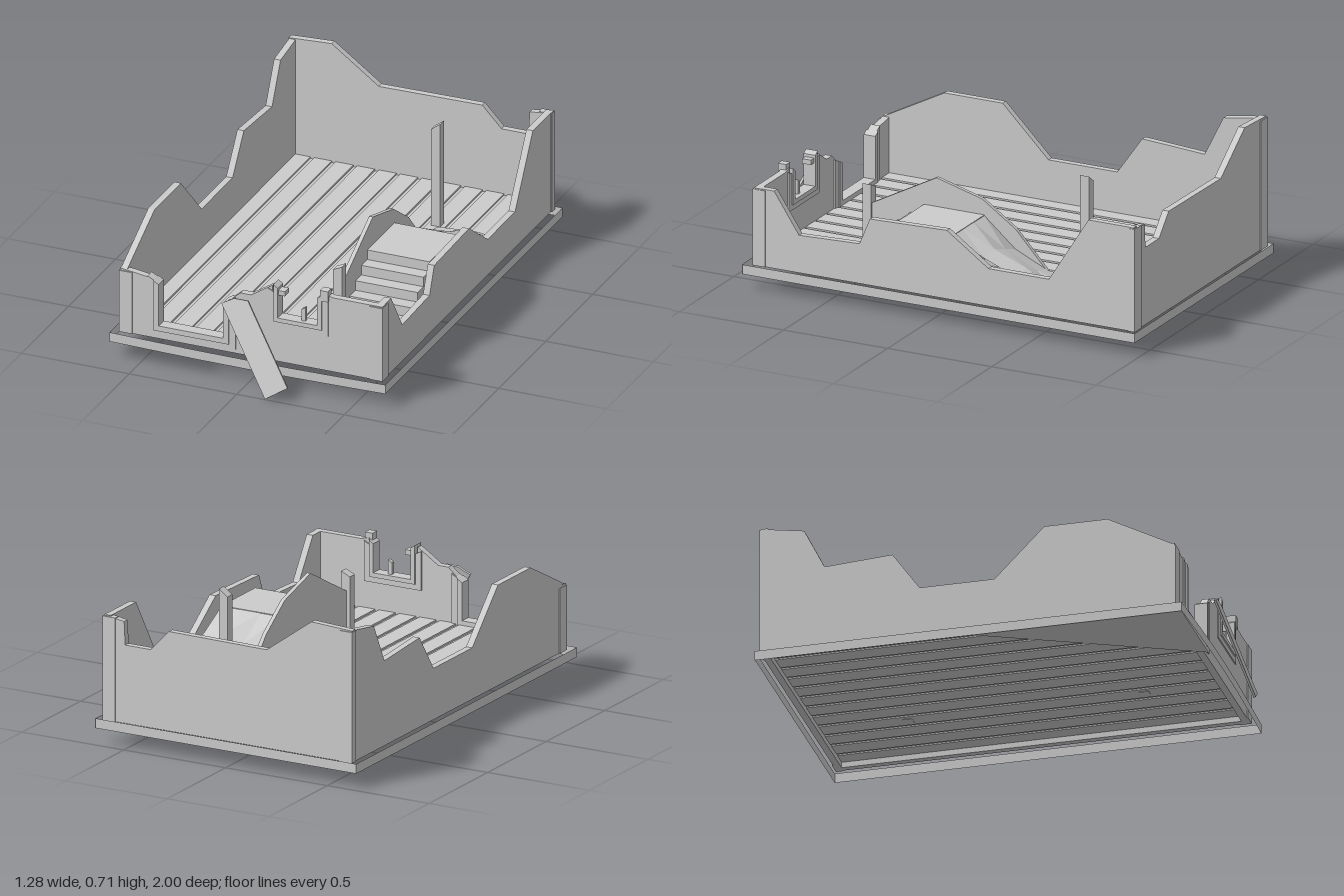
import * as THREE from 'three';

const material = new THREE.MeshStandardMaterial({ color: 0xcccccc, flatShading: true });
const thinMaterial = new THREE.MeshStandardMaterial({ color: 0xcccccc, flatShading: true, side: THREE.DoubleSide });
const BASE = 0.11;
const FLOOR = 0.155;

export function createModel() {
  const model = new THREE.Group();

  const add = (name, geometry, mat = material) => {
    const mesh = new THREE.Mesh(geometry, mat);
    mesh.name = name;
    model.add(mesh);
    return mesh;
  };
  // box given by its limits on each axis
  const box = (name, [x0, x1], [y0, y1], [z0, z1]) => {
    const g = new THREE.BoxGeometry(x1 - x0, y1 - y0, z1 - z0);
    return add(name, g.translate((x0 + x1) / 2, (y0 + y1) / 2, (z0 + z1) / 2));
  };
  const extrude = (points, depth) => new THREE.ExtrudeGeometry(
    new THREE.Shape(points.map(p => new THREE.Vector2(...p))), { depth, bevelEnabled: false });
  // outline in x,y, thickness along z
  const frontPanel = (name, points, z0, z1) =>
    add(name, extrude(points, z1 - z0).translate(0, 0, z0));
  // outline in z,y, thickness along x
  const sidePanel = (name, points, x0, x1) =>
    add(name, extrude(points.map(([z, y]) => [-z, y]), x1 - x0).rotateY(Math.PI / 2).translate(x0, 0, 0));
  // upright timber with a broken, slanting top
  const timber = (name, x, z, w, y0, y1, drop) => {
    const g = new THREE.BoxGeometry(w, y1 - y0, w);
    const p = g.attributes.position;
    for (let i = 0; i < p.count; i++)
      if (p.getY(i) > 0 && p.getX(i) < 0) p.setY(i, p.getY(i) - drop);
    return add(name, g.translate(x, (y0 + y1) / 2, z));
  };

  // floor boards with shallow grooves over a thin underlay
  box('floorUnderlay', [-0.585, 0.585], [FLOOR - 0.014, FLOOR - 0.008], [-0.955, 0.82]);
  for (let i = 0; i < 12; i++) {
    const x = -0.55 + i * 0.1;
    box('floorBoard', [Math.max(x - 0.041, -0.585), Math.min(x + 0.041, 0.585)], [FLOOR - 0.02, FLOOR], [-0.95, 0.815]);
  }

  // broken walls
  frontPanel('backWall', [[-0.61, BASE], [0.61, BASE], [0.61, 0.58], [0.51, 0.565], [0.505, 0.46],
    [0.38, 0.46], [0.29, 0.555], [-0.19, 0.55], [-0.41, 0.71], [-0.61, 0.7]], -0.98, -0.95);
  frontPanel('frontWall', [[-0.61, BASE], [0.61, BASE], [0.61, 0.46], [0.38, 0.46], [0.34, 0.47],
    [0.34, 0.3], [0.1, 0.3], [0.1, 0.465], [0.06, 0.44], [0, 0.4], [-0.05, 0.4], [-0.09, 0.365],
    [-0.09, 0.145], [-0.46, 0.145], [-0.46, 0.39], [-0.61, 0.41]], 0.815, 0.847);
  sidePanel('leftWall', [[0.845, BASE], [0.845, 0.46], [0.75, 0.46], [0.63, 0.28], [0.34, 0.29],
    [0.29, 0.41], [-0.08, 0.42], [-0.28, 0.28], [-0.57, 0.28], [-0.76, 0.58], [-0.975, 0.58],
    [-0.975, BASE]], 0.578, 0.608);
  sidePanel('rightWall', [[0.845, BASE], [0.845, 0.405], [0.55, 0.56], [0.27, 0.56], [0.05, 0.34],
    [-0.28, 0.34], [-0.4, 0.51], [-0.7, 0.49], [-0.79, 0.67], [-0.975, 0.7], [-0.975, BASE]], -0.608, -0.578);

  // corner posts, set into the wall thickness and slightly proud outside
  for (const [sx, sz, top] of [[-1, 1, 0.4], [1, 1, 0.455], [-1, -1, 0.695], [1, -1, 0.575]]) {
    const z = sz > 0 ? [0.82, 0.852] : [-0.985, -0.953];
    box('cornerPost', sx > 0 ? [0.552, 0.613] : [-0.613, -0.552], [BASE, top], z);
    if (sz > 0)
      box('cornerPostReturn', sx > 0 ? [0.58, 0.613] : [-0.613, -0.58], [BASE, top], [0.79, 0.83]);
  }

  // door and window surrounds as two stepped U-shaped frames each
  const uFrame = (name, [x0, x1], y0, [topLeft, topRight], w, z0, z1) =>
    frontPanel(name, [[x0, y0], [x1, y0], [x1, topRight], [x1 - w, topRight - 0.015],
      [x1 - w, y0 + w], [x0 + w, y0 + w], [x0 + w, topLeft - 0.015], [x0, topLeft]], z0, z1);
  uFrame('doorFrameOuter', [-0.48, -0.07], 0.13, [0.4, 0.375], 0.03, 0.808, 0.852);
  uFrame('doorFrameInner', [-0.45, -0.1], 0.15, [0.385, 0.36], 0.025, 0.802, 0.858);
  uFrame('windowFrameOuter', [0.08, 0.36], 0.275, [0.45, 0.455], 0.03, 0.808, 0.852);
  uFrame('windowFrameInner', [0.108, 0.332], 0.3, [0.475, 0.465], 0.02, 0.802, 0.858);
  timber('windowMullionStub', 0.24, 0.83, 0.018, 0.315, 0.385, 0.012);
  box('windowFrameSplinter', [0.108, 0.158], [0.425, 0.447], [0.808, 0.85]);
  box('windowFrameSplinter', [0.325, 0.362], [0.44, 0.49], [0.82, 0.86]);

  // staircase climbing to a landing
  for (let i = 0; i < 4; i++)
    box('stairStep', [0.262, 0.55], [FLOOR, FLOOR + 0.045 * (i + 1)], [0.208 + (3 - i) * 0.0625, 0.21 + (4 - i) * 0.0625]);
  box('stairLanding', [0.262, 0.55], [FLOOR, FLOOR + 0.225], [-0.08, 0.21]);
  sidePanel('stairSidePanel', [[0.47, FLOOR], [0.47, 0.34], [0.15, 0.51], [-0.07, 0.45],
    [-0.23, 0.34], [-0.4, FLOOR]], 0.244, 0.262);
  timber('stairPostFront', 0.25, 0.48, 0.042, FLOOR - 0.022, 0.43, 0.02);
  timber('stairPostBack', 0.25, -0.565, 0.042, FLOOR - 0.022, 0.64, 0.03);

  // uneven rubble sloping down behind the landing, heights by row from back to front
  const heights = [[0.158, 0.165, 0.17, 0.16], [0.18, 0.21, 0.25, 0.24],
    [0.25, 0.28, 0.31, 0.3], [0.38, 0.38, 0.38, 0.38]];
  const rubble = new THREE.PlaneGeometry(0.29, 0.46, 3, 3).rotateX(-Math.PI / 2).translate(0.405, 0, -0.305);
  const rp = rubble.attributes.position;
  for (let i = 0; i < rp.count; i++) rp.setY(i, heights[Math.floor(i / 4)][i % 4]);
  add('rubbleSlope', rubble, thinMaterial);

  // loose skirting strips standing clear of the walls
  const strip = (name, length, x, z, turn) => {
    const mesh = add(name, new THREE.PlaneGeometry(length, 0.043, 6, 1), thinMaterial);
    mesh.position.set(x, 0.094, z);
    mesh.rotation.y = turn;
    return mesh;
  };
  for (const s of [-1, 1]) strip('sideSkirting', 1.885, s * 0.641, -0.057, s * Math.PI / 2);
  strip('backSkirting', 1.282, 0, -0.998, Math.PI);
  // the front strip bows outward in the middle
  const bowed = strip('frontSkirting', 1.282, 0, 0.886, 0).geometry.attributes.position;
  for (let i = 0; i < bowed.count; i++)
    bowed.setZ(i, 0.014 * Math.cos(bowed.getX(i) / 0.641 * Math.PI / 2));

  // torn sheet under the front corner, facing down
  const sheet = new THREE.ShapeGeometry(new THREE.Shape([
    new THREE.Vector2(-0.64, 0.885), new THREE.Vector2(-0.64, -0.05), new THREE.Vector2(-0.2, 0.885)]));
  add('cornerSheet', sheet.rotateX(Math.PI / 2).translate(0, 0.075, 0));

  // fallen plank leaning on the front wall, one upper corner broken off
  const along = new THREE.Vector3(0.25, -0.36, 0.108).normalize();
  const normal = new THREE.Vector3(0, 0.3, 1).normalize();
  const across = new THREE.Vector3().crossVectors(normal, along);
  const plankShape = [[-0.225, -0.058], [0.225, -0.058], [0.225, 0.058], [-0.185, 0.058], [-0.22, 0.005]];
  const plank = add('leaningPlank', extrude(plankShape, 0.01).translate(0, 0, -0.005));
  plank.applyMatrix4(new THREE.Matrix4().makeBasis(along, across, normal).setPosition(0.055, 0.209, 0.934));

  return model;
}
